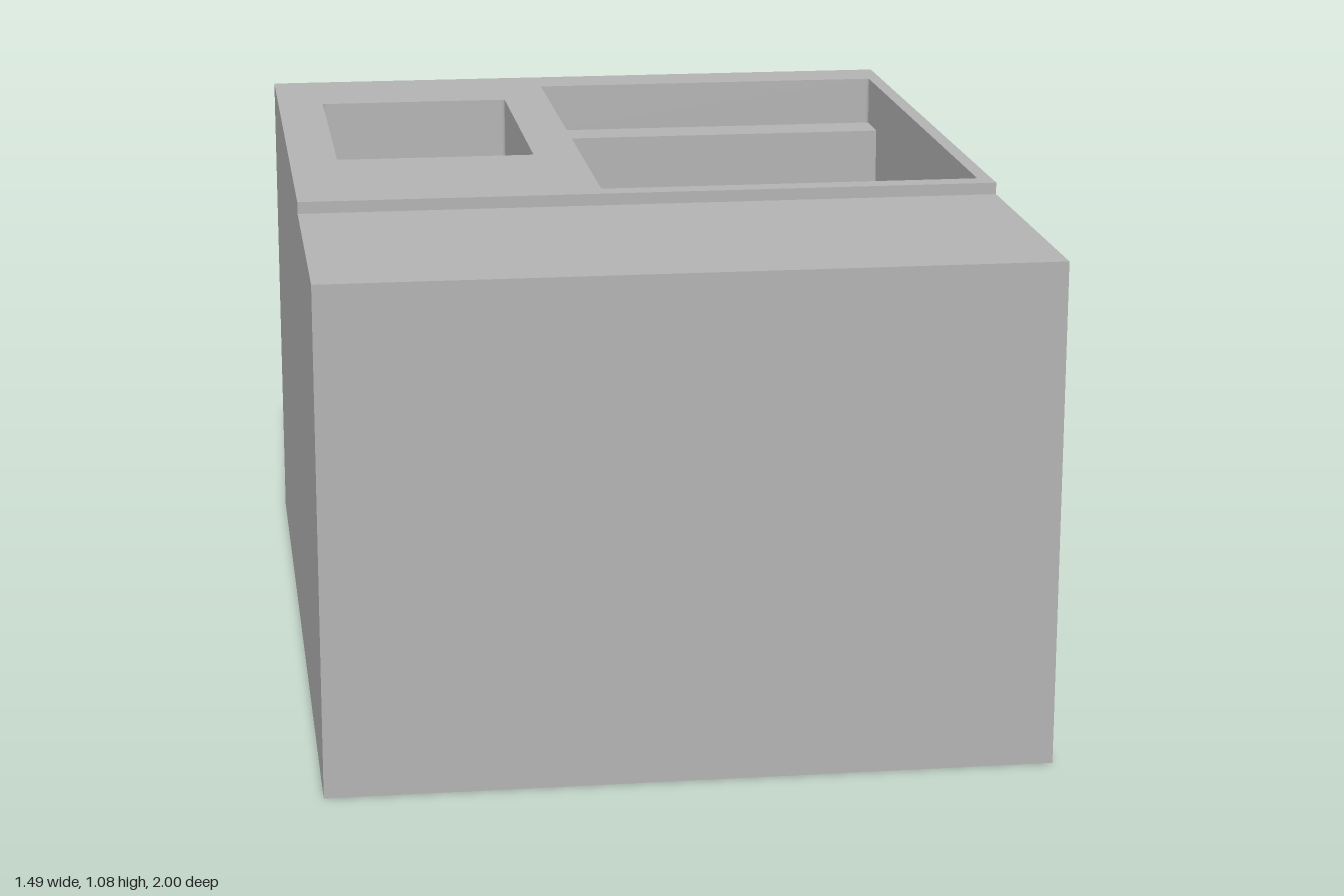
import * as THREE from 'three';

const W = 0.745, D = 1;                  // half width, half depth
const TOP = 1.08, FRONT_TOP = 1.055, STEP_Z = 0.37;
const LEDGE_Y = 0.97, TRAY_Y = 0.865, WELL_Y = 0.1;

// Counter-clockwise plan outline (seen from above) with its own back and front corner radii
function outline(x0, x1, z0, z1, rBack = 0, rFront = 0) {
  const corners = [
    [x0, z1, 1, -1, rFront, Math.PI], [x1, z1, -1, -1, rFront, 1.5 * Math.PI],
    [x1, z0, -1, 1, rBack, 0], [x0, z0, 1, 1, rBack, 0.5 * Math.PI],
  ];
  const pts = [];
  for (const [x, z, sx, sz, r, start] of corners) {
    const n = r ? 4 : 0;
    for (let i = 0; i <= n; i++) {
      const a = start + (n ? (i / n) * Math.PI / 2 : 0);
      pts.push(r
        ? new THREE.Vector2(x + sx * r + r * Math.cos(a), -(z + sz * r) + r * Math.sin(a))
        : new THREE.Vector2(x, -z));
    }
  }
  return pts;
}

// Horizontal face at height y, with optional holes
function deck(pts, y, holes = []) {
  const shape = new THREE.Shape(pts);
  holes.forEach((h) => shape.holes.push(new THREE.Path(h)));
  return new THREE.ShapeGeometry(shape).rotateX(-Math.PI / 2).translate(0, y, 0);
}

// Vertical walls around an outline, facing inwards
function pocketWalls(pts, y0, y1) {
  const pos = [];
  pts.forEach((a, i) => {
    const b = pts[(i + 1) % pts.length];
    pos.push(b.x, y0, -b.y, a.x, y0, -a.y, a.x, y1, -a.y);
    pos.push(b.x, y0, -b.y, a.x, y1, -a.y, b.x, y1, -b.y);
  });
  const g = new THREE.BufferGeometry();
  g.setAttribute('position', new THREE.Float32BufferAttribute(pos, 3));
  g.computeVertexNormals();
  return g;
}

// Upright panel facing +z (or -z) between two heights
function panel(z, y0, y1, back = false) {
  const g = new THREE.PlaneGeometry(2 * W, y1 - y0);
  if (back) g.rotateY(Math.PI);
  return g.translate(0, (y0 + y1) / 2, z);
}

export function createModel() {
  const model = new THREE.Group();
  model.name = 'steppedBlock';
  const grey = new THREE.MeshStandardMaterial({ color: 0xb2b2b2 });
  grey.name = 'grey';
  const add = (name, geometry) => {
    const mesh = new THREE.Mesh(geometry, grey);
    mesh.name = name;
    model.add(mesh);
  };

  // Pocket plans
  const r = 0.008;
  const tray = outline(-0.64, -0.205, -0.715, -0.055, r, r);
  const wellMouth = outline(-0.1, 0.715, -0.875, 0.32, r, r);
  const well = outline(-0.1, 0.715, -0.77, 0.32, 0, r);

  // Outer shell: stepped side profile on both sides
  const profile = new THREE.Shape([
    [-D, 0], [D, 0], [D, TOP], [-STEP_Z, TOP], [-STEP_Z, FRONT_TOP], [-D, FRONT_TOP],
  ].map(([x, y]) => new THREE.Vector2(x, y)));
  add('leftSide', new THREE.ShapeGeometry(profile).rotateY(Math.PI / 2).translate(W, 0, 0));
  const mirrored = new THREE.Shape(profile.getPoints().map((p) => new THREE.Vector2(-p.x, p.y)));
  add('rightSide', new THREE.ShapeGeometry(mirrored).rotateY(-Math.PI / 2).translate(-W, 0, 0));
  add('frontPanel', panel(D, 0, FRONT_TOP));
  add('backPanel', panel(-D, 0, TOP, true));
  add('stepRiser', panel(STEP_Z, FRONT_TOP, TOP));
  add('underside', new THREE.PlaneGeometry(2 * W, 2 * D).rotateX(Math.PI / 2));

  // Top decks
  add('frontDeck', deck(outline(-W, W, STEP_Z, D), FRONT_TOP));
  add('rearDeck', deck(outline(-W, W, -D, STEP_Z), TOP, [tray, wellMouth]));

  // Shallow tray
  add('trayWalls', pocketWalls(tray, TRAY_Y, TOP));
  add('trayFloor', deck(tray, TRAY_Y));

  // Deep well with a ledge along its back
  add('wellMouthWalls', pocketWalls(wellMouth, LEDGE_Y, TOP));
  add('wellLedge', deck(outline(-0.1, 0.715, -0.875, -0.77, r, 0), LEDGE_Y));
  add('wellWalls', pocketWalls(well, WELL_Y, LEDGE_Y));
  add('wellFloor', deck(well, WELL_Y));

  return model;
}
